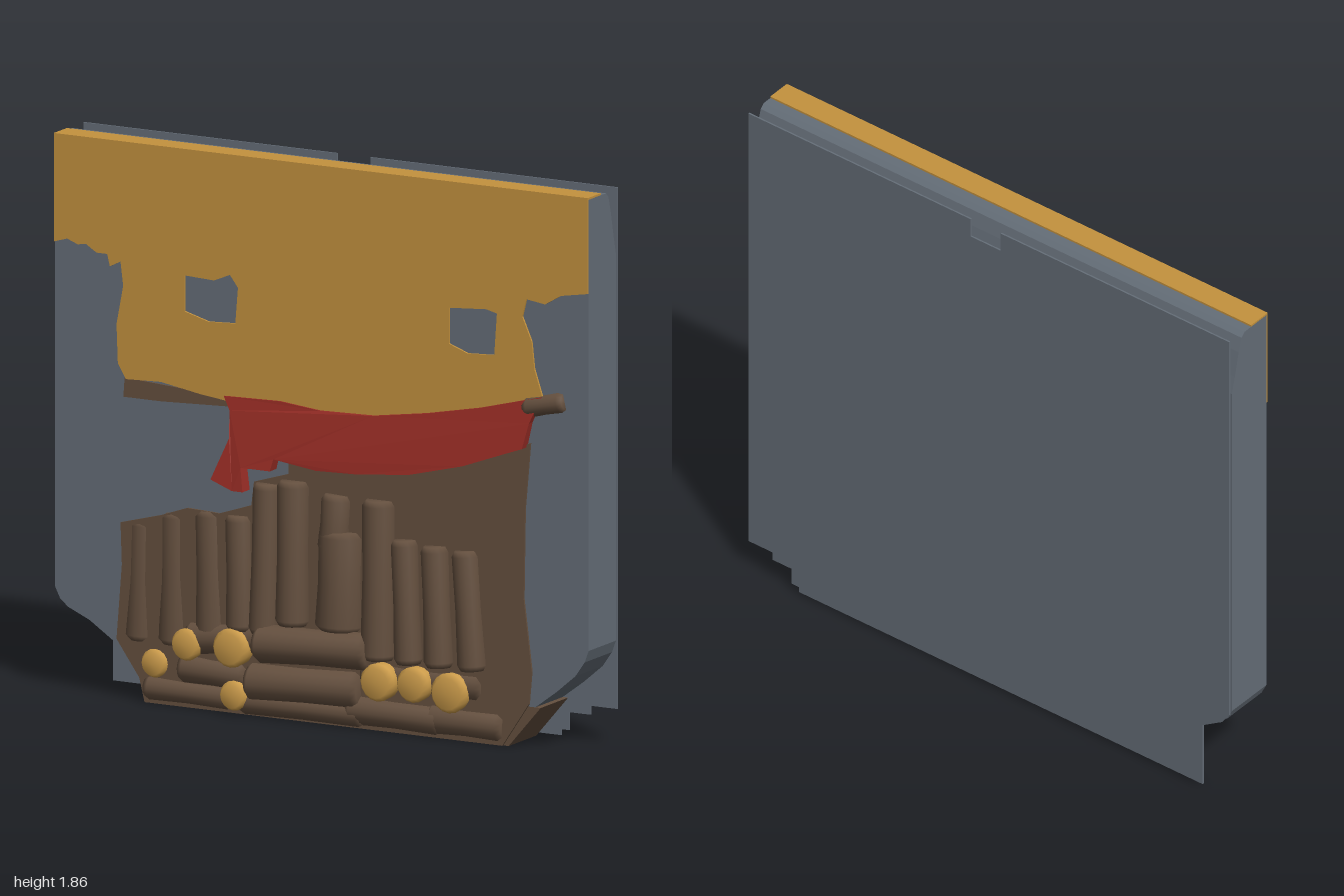
import * as THREE from 'three';

const material = (name, color) => {
  const m = new THREE.MeshStandardMaterial({ color });
  m.name = name;
  return m;
};

export function createModel() {
  const group = new THREE.Group();
  const straw = material('straw', 0xc4923e);
  const slate = material('slate', 0x656e78);
  const wood = material('wood', 0x65503f);
  const red = material('red cloth', 0x9c2e26);
  const cutWood = material('cut wood', 0xcb9b4a);

  const add = (name, geometry, mat) => {
    const mesh = new THREE.Mesh(geometry, mat);
    mesh.name = name;
    group.add(mesh);
    return mesh;
  };
  const outline = pts => new THREE.Shape(pts.map(p => new THREE.Vector2(...p)));
  // Outline in x/y, extruded from z0 to z1
  const plate = (name, pts, z0, z1, mat, holes = []) => {
    const shape = outline(pts);
    holes.forEach(h => shape.holes.push(outline(h)));
    const g = new THREE.ExtrudeGeometry(shape, { depth: z1 - z0, bevelEnabled: false });
    return add(name, g.translate(0, 0, z0), mat);
  };

  // Upper body: z/y side profile swept across the width
  const profile = outline([
    [0.13, 0.35], [0.13, 1.64], [0.115, 1.7], [0.095, 1.79], [0.08, 1.84], [0.065, 1.855],
    [-0.05, 1.856], [-0.05, 0.35],
  ]);
  const bodyGeo = new THREE.ExtrudeGeometry(profile, { depth: 2, bevelEnabled: false });
  add('wallBody', bodyGeo.rotateY(Math.PI / 2).translate(-1, 0, 0), slate);

  // Lower body with its cut-in corners
  plate('wallFoot', [
    [-1, 0.35], [-0.98, 0.31], [-0.95, 0.285], [-0.87, 0.25], [-0.78, 0.19], [-0.7, 0.14],
    [0.8, 0.14], [0.88, 0.2], [0.95, 0.26], [0.985, 0.31], [1, 0.35],
  ], -0.13, 0.05, slate);

  // Thin back sheet with top notch and stepped corner
  plate('backSheet', [
    [-0.89, 0.01], [0.79, 0.01], [0.79, 0.03], [0.82, 0.03], [0.82, 0.09], [0.9, 0.09], [0.9, 0.12],
    [1, 0.12], [1, 1.86], [0.075, 1.86], [0.075, 1.79], [-0.05, 1.79], [-0.05, 1.86], [-1, 1.86],
    [-1, 0.34], [-0.97, 0.3], [-0.89, 0.25],
  ], -0.145, -0.139, slate);

  // Straw front with window openings, and the strip over the top edge
  plate('strawFront', [
    [-1, 1.862], [-1, 1.5], [-0.95, 1.515], [-0.91, 1.5], [-0.88, 1.505], [-0.84, 1.48], [-0.8, 1.48],
    [-0.79, 1.44], [-0.75, 1.46], [-0.74, 1.38], [-0.765, 1.25], [-0.76, 1.12], [-0.73, 1.07],
    [-0.6, 1.075], [-0.45, 1.05], [-0.28, 1.03], [0, 1.02], [0.3, 1.04], [0.6, 1.1], [0.83, 1.18],
    [0.8, 1.27], [0.79, 1.36], [0.755, 1.44], [0.77, 1.5], [0.84, 1.49], [0.9, 1.525], [1, 1.542], [1, 1.862],
  ], 0.05, 0.057, straw, [
    [[-0.51, 1.44], [-0.51, 1.32], [-0.42, 1.295], [-0.32, 1.3], [-0.31, 1.42], [-0.34, 1.46], [-0.4, 1.435]],
    [[0.48, 1.44], [0.48, 1.32], [0.55, 1.295], [0.65, 1.3], [0.66, 1.44], [0.62, 1.45]],
  ]);
  add('strawTop', new THREE.BoxGeometry(2, 0.007, 0.085).translate(0, 1.8585, 0.0125), straw);
  plate('eaveBeam', [
    [-0.735, 1.075], [-0.74, 1.01], [-0.6, 1.01], [-0.35, 1.02], [-0.35, 1.05], [-0.5, 1.06],
  ], 0.05, 0.056, wood);

  // Wooden panel and the solid base below it
  plate('woodPanel', [
    [-0.66, 0], [0.68, 0], [0.78, 0.15], [0.79, 0.26], [0.76, 0.5], [0.765, 0.8], [0.785, 1.02],
    [0.4, 0.92], [-0.12, 0.88], [-0.12, 0.82], [-0.25, 0.78], [-0.26, 0.7], [-0.38, 0.66],
    [-0.5, 0.665], [-0.6, 0.63], [-0.75, 0.59], [-0.745, 0.45], [-0.765, 0.2], [-0.68, 0.08],
  ], 0.05, 0.057, wood);
  plate('woodBase', [[-0.66, 0], [0.7, 0], [0.82, 0.14], [-0.7, 0.14]], -0.132, 0.05, wood);

  // Red cloth: the hem leans forward from the wall
  const cloth = new THREE.ExtrudeGeometry(outline([
    [-0.36, 1.055], [-0.335, 1.01], [-0.33, 0.92], [-0.39, 0.78], [-0.31, 0.75], [-0.27, 0.75],
    [-0.28, 0.83], [-0.17, 0.83], [-0.16, 0.87], [0, 0.85], [0.15, 0.855], [0.35, 0.875], [0.55, 0.925],
    [0.7, 0.98], [0.77, 1.005], [0.79, 1.09], [0.83, 1.18], [0.6, 1.12], [0.4, 1.08], [0.2, 1.05],
    [0, 1.045], [-0.15, 1.06],
  ]), { depth: 0.012, bevelEnabled: false });
  const p = cloth.attributes.position;
  for (let i = 0; i < p.count; i++) {
    const drop = Math.max(0, 1.05 + 0.16 * Math.max(0, p.getX(i)) - p.getY(i));
    if (p.getZ(i) > 0.006) p.setZ(i, 0.063 + Math.min(drop * 0.14, 0.035));
    else p.setZ(i, 0.05);
  }
  cloth.computeVertexNormals();
  add('clothBanner', cloth, red);

  // Logs: tapered cylinder between two points
  const log = (name, a, b, r, mat = wood) => {
    const from = new THREE.Vector3(...a), to = new THREE.Vector3(...b);
    const dir = to.clone().sub(from), h = dir.length();
    const pts = [[0, 0], [r * 0.8, 0], [r, 0.018], [r * 0.92, h / 2], [r * 0.96, h - 0.018], [r * 0.75, h], [0, h]];
    const g = new THREE.LatheGeometry(pts.map(q => new THREE.Vector2(...q)), 16);
    const mesh = add(name, g, mat);
    mesh.position.copy(from);
    mesh.quaternion.setFromUnitVectors(new THREE.Vector3(0, 1, 0), dir.normalize());
  };

  // Upright logs: bottom x, top x, bottom y, top y, radius, front z
  [
    [-0.69, -0.68, 0.2, 0.6, 0.06, 0.066], [-0.56, -0.56, 0.2, 0.64, 0.065, 0.07],
    [-0.42, -0.43, 0.25, 0.66, 0.06, 0.075], [-0.3, -0.31, 0.28, 0.66, 0.05, 0.095],
    [-0.21, -0.2, 0.28, 0.78, 0.05, 0.105], [-0.1, -0.1, 0.32, 0.8, 0.058, 0.115],
    [0.05, 0.06, 0.58, 0.77, 0.055, 0.105], [0.07, 0.075, 0.32, 0.65, 0.085, 0.125],
    [0.22, 0.22, 0.24, 0.77, 0.06, 0.115], [0.34, 0.32, 0.24, 0.65, 0.048, 0.115],
    [0.45, 0.43, 0.24, 0.64, 0.05, 0.11], [0.57, 0.54, 0.24, 0.635, 0.05, 0.1],
  ].forEach(([x0, x1, y0, y1, r, z]) =>
    log('uprightLog', [x0, y0, z - r + 0.008], [x1, y1, z - r], r));

  // Lying logs: x from, x to, y from, y to, radius, front z
  [
    [-0.22, 0.2, 0.25, 0.265, 0.065, 0.145], [-0.27, 0.15, 0.11, 0.125, 0.068, 0.11],
    [-0.53, -0.28, 0.13, 0.12, 0.055, 0.085], [-0.5, -0.2, 0.23, 0.26, 0.06, 0.09],
    [-0.66, -0.33, 0.05, 0.045, 0.045, 0.08], [-0.3, 0.16, 0.045, 0.045, 0.045, 0.09],
    [0.1, 0.45, 0.06, 0.055, 0.052, 0.09], [0.4, 0.68, 0.06, 0.058, 0.055, 0.085],
    [0.15, 0.6, 0.18, 0.18, 0.06, 0.075],
  ].forEach(([x0, x1, y0, y1, r, z]) =>
    log('lyingLog', [x0, y0, z - r], [x1, y1, z - r], r));

  // Cut log ends facing the front
  [
    [-0.62, 0.135, 0.05, 0.08], [-0.49, 0.215, 0.056, 0.1], [-0.315, 0.225, 0.068, 0.115],
    [-0.31, 0.065, 0.052, 0.105], [0.235, 0.17, 0.066, 0.115], [0.365, 0.175, 0.062, 0.11],
    [0.495, 0.16, 0.07, 0.1],
  ].forEach(([x, y, r, z]) => log('logEnd', [x, y, 0.01], [x, y, z], r, cutWood));

  // Pole stub beside the cloth
  log('poleEnd', [0.76, 1.135, 0.04], [0.91, 1.17, 0.045], 0.036);

  return group;
}
